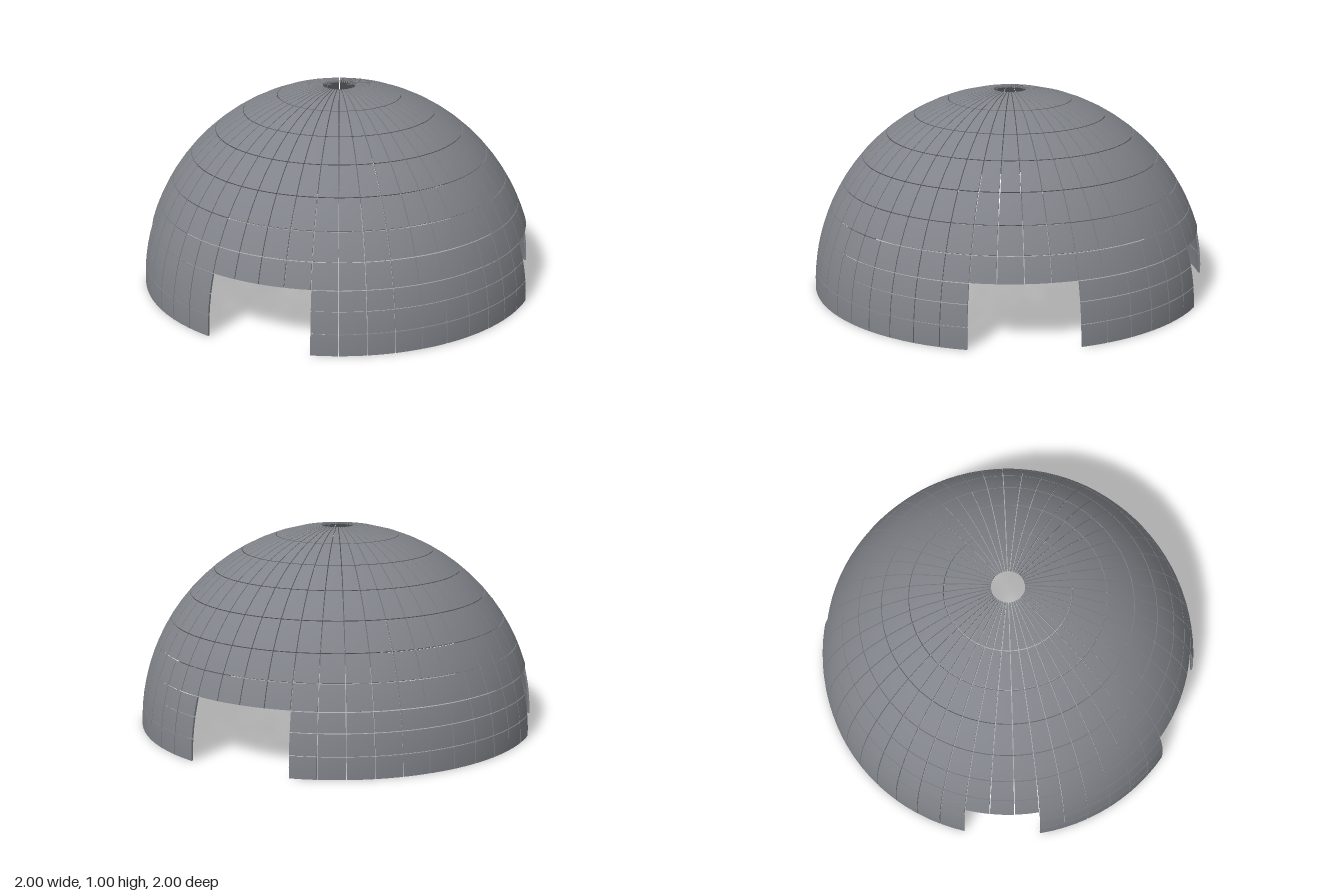
import * as THREE from 'three';
import { mergeGeometries } from 'three/addons/utils/BufferGeometryUtils.js';

const COLUMNS = 48;
const GAP = 0.004; // seam between neighbouring tiles
const THICKNESS = 0.01;
const rad = THREE.MathUtils.degToRad;

// One curved tile: a box wrapped onto the sphere (x = azimuth, y = elevation, z = radius)
function tile(a0, a1, e0, e1) {
  const geo = new THREE.BoxGeometry(1, 1, 1, 2, 2, 1);
  const pos = geo.attributes.position;
  const flat = geo.attributes.normal.clone();
  const dirs = [];
  const mid = Math.cos((e0 + e1) / 2);
  for (let i = 0; i < pos.count; i++) {
    const e = THREE.MathUtils.lerp(e0, e1, pos.getY(i) + 0.5);
    const inset = Math.min(GAP / 2 / Math.cos(e), (a1 - a0) * 0.12 / Math.max(mid, 0.5));
    const a = THREE.MathUtils.lerp(a0 + inset, a1 - inset, pos.getX(i) + 0.5);
    const r = 1 - (0.5 - pos.getZ(i)) * THICKNESS;
    const d = new THREE.Vector3(Math.cos(e) * Math.cos(a), Math.sin(e), -Math.cos(e) * Math.sin(a));
    dirs.push(d);
    pos.setXYZ(i, d.x * r, d.y * r, d.z * r);
  }
  geo.computeVertexNormals();
  // Exact sphere normals on the outer and inner faces
  for (let i = 0; i < pos.count; i++) {
    const s = Math.round(flat.getZ(i));
    if (s) geo.attributes.normal.setXYZ(i, dirs[i].x * s, dirs[i].y * s, dirs[i].z * s);
  }
  return geo;
}

// Doorways as azimuth ranges in degrees, counter-clockwise from +x
const doorways = [[30, 60], [142.5, 165], [210, 240], [315, 345]];
const isDoorway = (deg) => doorways.some(([from, to]) => deg > from && deg < to);

// A ring of tiles between two elevations
function ring(name, e0, e1, material, open) {
  const step = 360 / COLUMNS;
  const parts = [];
  for (let i = 0; i < COLUMNS; i++) {
    if (open && isDoorway((i + 0.5) * step)) continue;
    const low = e0 === 0 ? 0 : rad(e0) + GAP / 2;
    parts.push(tile(rad(i * step), rad((i + 1) * step), low, rad(e1) - GAP / 2));
  }
  const mesh = new THREE.Mesh(mergeGeometries(parts), material);
  mesh.name = name;
  return mesh;
}

export function createModel() {
  const group = new THREE.Group();
  group.name = 'tiledDome';
  const stone = new THREE.MeshStandardMaterial({ color: 0x808389, side: THREE.DoubleSide });
  stone.name = 'slate grey';

  // Lower wall, cut by the doorways
  const wall = [0, 6, 12, 17.5];
  for (let i = 0; i < wall.length - 1; i++) {
    group.add(ring(`wallRing${i + 1}`, wall[i], wall[i + 1], stone, true));
  }
  // Continuous dome rings
  const dome = [17.5, 24.8, 32.8, 42, 51.7, 61.3, 72];
  for (let i = 0; i < dome.length - 1; i++) {
    group.add(ring(`domeRing${i + 1}`, dome[i], dome[i + 1], stone, false));
  }
  // Crown of narrow wedges around the open eye
  group.add(ring('crownRing', 72, 85.4, stone, false));
  return group;
}
